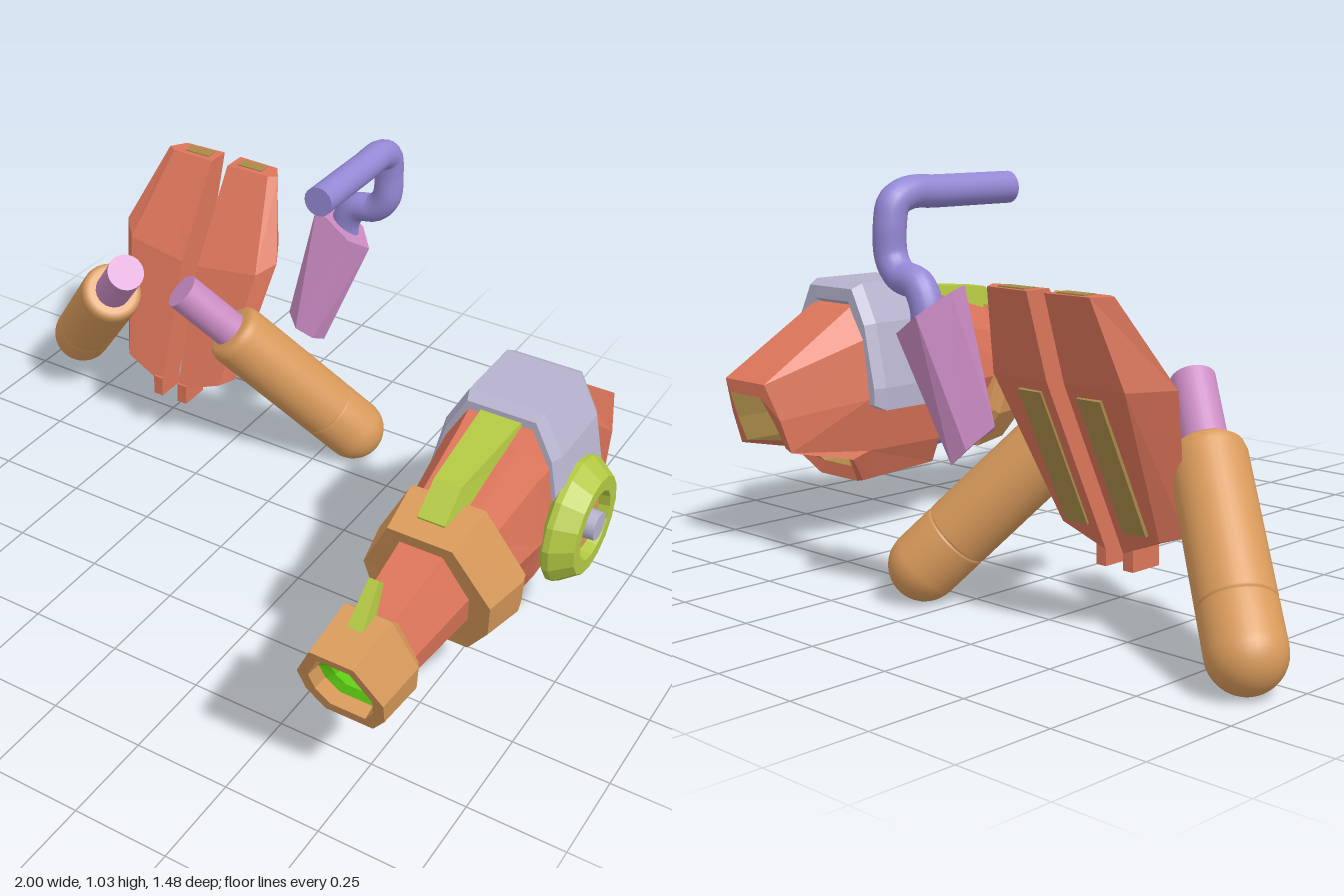
import * as THREE from 'three';

const mat = (name, color, side = THREE.FrontSide) => {
  const m = new THREE.MeshStandardMaterial({ color, side });
  m.name = name;
  return m;
};
const flat = (m) => { m.flatShading = true; return m; };

export function createModel() {
  const red = mat('armourRed', 0xdc755a);
  const orange = mat('sleeveOrange', 0xd99a5b);
  const lime = mat('limeGreen', 0xb3c843);
  const grey = mat('paleGrey', 0xb6b2cd);
  const pink = mat('mauvePink', 0xcb8cc4);
  const violet = mat('tubeViolet', 0x9488d4);
  const bright = mat('boreGreen', 0x5fd012);
  const tan = mat('innerTan', 0xa88a48);

  const model = new THREE.Group();
  const add = (parent, name, geo, material) => {
    const mesh = new THREE.Mesh(geo, material);
    mesh.name = name;
    parent.add(mesh);
    return mesh;
  };

  // Faceted skin over loops that run counter-clockwise about the travel direction
  const loft = (loops, capStart = true, capEnd = true) => {
    const pos = [];
    const n = loops[0].length;
    const tri = (a, b, c) => pos.push(...a, ...b, ...c);
    for (let i = 0; i < loops.length - 1; i++) {
      for (let j = 0; j < n; j++) {
        const k = (j + 1) % n, A = loops[i], B = loops[i + 1];
        tri(A[j], A[k], B[k]);
        tri(A[j], B[k], B[j]);
      }
    }
    const cap = (loop, flip) => {
      const c = [0, 1, 2].map((q) => loop.reduce((s, p) => s + p[q], 0) / n);
      for (let j = 0; j < n; j++) {
        const k = (j + 1) % n;
        if (flip) tri(c, loop[k], loop[j]); else tri(c, loop[j], loop[k]);
      }
    };
    if (capStart) cap(loops[0], true);
    if (capEnd) cap(loops[loops.length - 1], false);
    const g = new THREE.BufferGeometry();
    g.setAttribute('position', new THREE.Float32BufferAttribute(pos, 3));
    g.computeVertexNormals();
    return g;
  };

  // Mirrors a half outline, listed bottom to top, into a whole loop
  const sym = (half) => [...half, ...[...half].reverse().map(([x, y, z]) => [-x, y, z])];
  // Tilted octagon between a bottom and a top point, each given as [z, y]
  const oct = (bot, top, w) => sym([[0.56, 0], [0.92, 0.25], [1, 0.54], [0.5, 1]].map(([k, f]) =>
    [k * w, bot[1] + (top[1] - bot[1]) * f, bot[0] + (top[0] - bot[0]) * f]));

  // ---- Arm cannon ----
  const cannon = new THREE.Group();
  cannon.name = 'armCannon';
  cannon.position.x = 0.757;
  model.add(cannon);

  // Hollow rear body
  const rim = [[0.08, 0.16, -0.317], [0.13, 0.235, -0.37], [0.11, 0.28, -0.56], [0.105, 0.37, -0.59], [0.085, 0.468, -0.623]];
  const inner = rim.map(([x, y, z]) => [x * 0.78, 0.32 + (y - 0.32) * 0.76, z]);
  const deep = inner.map(([x, y, z]) => [x, y, -0.27 + (z + 0.4) * 0.3]);
  add(cannon, 'cannonBody', loft([
    sym(inner), sym(rim),
    sym([[0.085, 0.16, -0.3], [0.125, 0.25, -0.31], [0.157, 0.4, -0.33], [0.135, 0.56, -0.33], [0.08, 0.645, -0.33]]),
    sym([[0.09, 0.175, -0.05], [0.13, 0.25, -0.06], [0.165, 0.41, -0.08], [0.14, 0.58, -0.08], [0.085, 0.68, -0.08]]),
    sym([[0.08, 0.245, -0.01], [0.12, 0.29, 0], [0.16, 0.4, 0], [0.13, 0.57, 0], [0.08, 0.652, 0]]),
    sym([[0.08, 0.26, 0.15], [0.11, 0.32, 0.17], [0.145, 0.41, 0.19], [0.11, 0.52, 0.22], [0.07, 0.58, 0.23]]),
  ], false), red);
  add(cannon, 'cannonLining', loft([sym(deep), sym(inner)], true, false), tan);

  // Barrel, collar and muzzle
  add(cannon, 'barrel', loft([
    oct([0.17, 0.258], [0.25, 0.555], 0.118), oct([0.51, 0.28], [0.54, 0.495], 0.09),
  ]), red);
  add(cannon, 'collar', loft([
    oct([0.09, 0.24], [0.19, 0.575], 0.165), oct([0.09, 0.215], [0.2, 0.603], 0.187),
    oct([0.112, 0.198], [0.215, 0.602], 0.19), oct([0.226, 0.21], [0.345, 0.575], 0.165),
    oct([0.235, 0.24], [0.335, 0.55], 0.135),
  ]), orange);
  add(cannon, 'muzzle', loft([
    oct([0.5, 0.275], [0.53, 0.488], 0.1), oct([0.515, 0.258], [0.578, 0.53], 0.117),
    oct([0.64, 0.265], [0.74, 0.51], 0.108), oct([0.65, 0.295], [0.73, 0.485], 0.08),
    oct([0.61, 0.3], [0.69, 0.48], 0.076),
  ], true, false), orange);
  const boreEnd = oct([0.55, 0.335], [0.6, 0.445], 0.045);
  add(cannon, 'bore', loft([
    oct([0.61, 0.3], [0.69, 0.48], 0.076), oct([0.605, 0.325], [0.67, 0.455], 0.054), boreEnd,
  ], false, false), bright);
  add(cannon, 'boreFloor', loft([oct([0.54, 0.335], [0.59, 0.445], 0.045), boreEnd]), orange);

  // Top fin and front sight
  add(cannon, 'topFin', loft([
    sym([[0.065, 0.6, -0.07], [0.055, 0.685, -0.09]]),
    sym([[0.05, 0.57, 0.21], [0.035, 0.655, 0.215]]),
    sym([[0.042, 0.55, 0.28], [0.035, 0.592, 0.29]]),
  ]), lime);
  add(cannon, 'frontSight', loft([
    sym([[0.02, 0.515, 0.58], [0.012, 0.587, 0.535]]),
    sym([[0.02, 0.515, 0.645], [0.012, 0.61, 0.56]]),
  ]), lime);

  // Saddle cuff over the body
  const arch = [[0.177, 0.385], [0.177, 0.43], [0.14, 0.6], [0.09, 0.695]];
  const cuffShape = new THREE.Shape([
    ...arch, ...[...arch].reverse().map(([x, y]) => [-x, y]),
    [-0.15, 0.385], [-0.15, 0.43], [-0.115, 0.58], [-0.075, 0.66],
    [0.075, 0.66], [0.115, 0.58], [0.15, 0.43], [0.15, 0.385],
  ].map(([x, y]) => new THREE.Vector2(x, y)));
  const cuff = new THREE.ExtrudeGeometry(cuffShape, {
    depth: 0.21, bevelEnabled: true, bevelSize: 0.015, bevelThickness: 0.03, bevelSegments: 1,
  });
  add(cannon, 'cuff', cuff.translate(0, 0, -0.3), grey);

  // Rod under the body
  const rod = add(cannon, 'underRod', new THREE.CylinderGeometry(0.05, 0.05, 0.24, 20), violet);
  rod.position.set(0, 0.25, 0.04);
  rod.rotation.x = Math.PI / 2 - 0.1;

  // Side dial
  const dial = new THREE.Group();
  dial.name = 'sideDial';
  dial.position.set(0.145, 0.383, -0.167);
  dial.rotation.z = -Math.PI / 2;
  cannon.add(dial);
  const dialProfile = [[0, 0], [0.14, 0], [0.167, 0.02], [0.167, 0.036], [0.13, 0.088], [0.092, 0.088], [0.085, 0.045], [0, 0.045]];
  const limeFlat = flat(lime);
  add(dial, 'dialRing', new THREE.LatheGeometry(dialProfile.map(([r, h]) => new THREE.Vector2(r, h)), 16), limeFlat);
  add(dial, 'dialDisc', new THREE.CylinderGeometry(0.072, 0.072, 0.06, 24), orange).position.y = 0.035;
  add(dial, 'dialHub', new THREE.CylinderGeometry(0.037, 0.043, 0.1, 16), grey).position.y = 0.048;

  // ---- Torso plates and upper arms, mirrored about their own centre ----
  const up = new THREE.Vector3(0, 1, 0);
  const armDir = new THREE.Vector3(-0.4, 0.486, 0.3).normalize();
  for (const s of [1, -1]) {
    const side = new THREE.Group();
    side.name = s > 0 ? 'leftTorsoSide' : 'rightTorsoSide';
    side.position.x = -0.413;
    side.scale.x = s;
    model.add(side);

    add(side, 'torsoPlate', loft([
      [[0.027, 0.185, -0.36], [0.16, 0.235, -0.38], [0.19, 0.245, -0.42], [0.15, 0.235, -0.465], [0.027, 0.185, -0.45]],
      [[0.027, 0.55, -0.47], [0.215, 0.57, -0.485], [0.258, 0.6, -0.53], [0.2, 0.6, -0.635], [0.027, 0.6, -0.64]],
      [[0.027, 0.805, -0.63], [0.16, 0.805, -0.635], [0.185, 0.805, -0.65], [0.155, 0.805, -0.695], [0.027, 0.805, -0.7]],
    ]), red);
    add(side, 'torsoTab', new THREE.BoxGeometry(0.03, 0.06, 0.09), red).position.set(0.042, 0.175, -0.405);
    add(side, 'topSlot', new THREE.BoxGeometry(0.08, 0.006, 0.036), tan).position.set(0.09, 0.805, -0.667);
    const slot = add(side, 'backSlot', new THREE.BoxGeometry(0.07, 0.36, 0.009), tan);
    slot.position.set(0.09, 0.41, -0.553);
    slot.rotation.x = -0.43;

    // Round-ended sleeve with a groove, and the pin at its upper end
    const arm = new THREE.Group();
    arm.name = 'upperArm';
    arm.position.set(0.497, 0.09, -0.59);
    arm.quaternion.setFromUnitVectors(up, armDir);
    side.add(arm);
    const profile = [];
    for (let i = 0; i <= 10; i++) {
      const a = (i / 10) * Math.PI / 2;
      profile.push(new THREE.Vector2(0.09 * Math.sin(a), -0.09 * Math.cos(a)));
    }
    for (const [r, h] of [[0.09, 0.104], [0.084, 0.106], [0.084, 0.112], [0.09, 0.114], [0.09, 0.48], [0.085, 0.5], [0.07, 0.512], [0, 0.514]]) {
      profile.push(new THREE.Vector2(r, h));
    }
    add(arm, 'sleeve', new THREE.LatheGeometry(profile, 32), orange);
    add(arm, 'armPin', new THREE.CylinderGeometry(0.053, 0.053, 0.22, 24), pink).position.y = 0.59;
  }

  // ---- Tapered holder with a bent pipe ----
  const holderTop = [[-0.06, -0.58], [0.05, -0.57], [0.08, -0.64], [0.01, -0.73], [-0.07, -0.74], [-0.09, -0.65]]
    .map(([x, z]) => [x, 0.71 - 0.65 * (x - 0.01) + 0.4 * (z + 0.65), z]);
  add(model, 'pipeHolder', loft([
    [[-0.07, 0.43, -0.5], [-0.03, 0.395, -0.53], [-0.02, 0.37, -0.58], [-0.05, 0.36, -0.62], [-0.09, 0.4, -0.61], [-0.115, 0.45, -0.54]],
    holderTop,
  ]), pink);
  const path = new THREE.CatmullRomCurve3([
    [-0.005, 0.67, -0.645], [0, 0.735, -0.645], [0.028, 0.782, -0.645], [0.09, 0.8, -0.645], [0.122, 0.84, -0.645],
    [0.125, 0.92, -0.645], [0.125, 0.968, -0.632], [0.125, 0.99, -0.585], [0.125, 0.99, -0.5], [0.125, 0.99, -0.26],
  ].map((p) => new THREE.Vector3(...p)));
  add(model, 'bentPipe', new THREE.TubeGeometry(path, 60, 0.04, 20), violet);
  add(model, 'pipeEnd', new THREE.CircleGeometry(0.04, 20), violet).position.set(0.125, 0.99, -0.26);

  return model;
}
